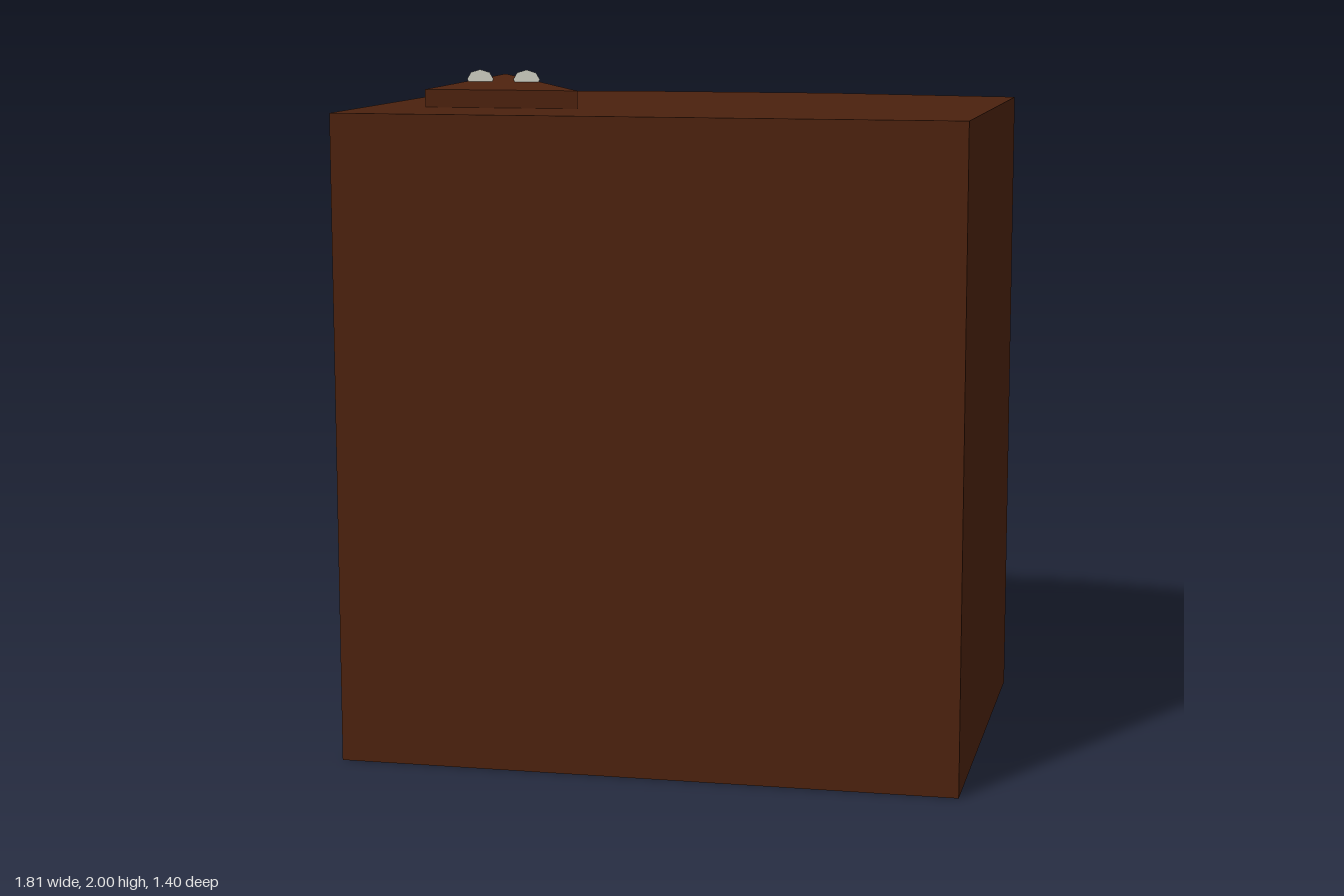
import * as THREE from 'three';

const mat = (name, color) => {
  const m = new THREE.MeshStandardMaterial({ color });
  m.name = name;
  return m;
};

// Solid skinned through closed cross-sections, capped at both ends, hard edges
function loft(sections) {
  const pos = [];
  const tri = (...pts) => pts.forEach((p) => pos.push(...p));
  const n = sections[0].length;
  for (let i = 0; i < sections.length - 1; i++) {
    for (let j = 0; j < n; j++) {
      const k = (j + 1) % n;
      const [s, t] = [sections[i], sections[i + 1]];
      tri(s[j], s[k], t[k]);
      tri(s[j], t[k], t[j]);
    }
  }
  const first = sections[0], last = sections[sections.length - 1];
  for (let j = 1; j < n - 1; j++) {
    tri(first[0], first[j + 1], first[j]);
    tri(last[0], last[j], last[j + 1]);
  }
  const g = new THREE.BufferGeometry();
  g.setAttribute('position', new THREE.Float32BufferAttribute(pos, 3));
  g.computeVertexNormals();
  return g;
}

// Closed outline from a function of angle
function outline(count, fn) {
  const pts = [];
  for (let i = 0; i < count; i++) {
    const [x, y] = fn((i / count) * Math.PI * 2);
    pts.push(new THREE.Vector2(x, y));
  }
  return new THREE.Shape(pts);
}

export function createModel() {
  const group = new THREE.Group();
  const wood = mat('brown wood', 0x4b210e);
  const charcoal = mat('charcoal surround', 0x3a3e3a);
  const glass = mat('grey glass', 0xa6a69e);
  const brass = mat('dull brass', 0x6e5f38);
  const white = mat('off white', 0xcacabe);

  const add = (name, geometry, material, x = 0, y = 0, z = 0) => {
    const m = new THREE.Mesh(geometry, material);
    m.name = name;
    m.position.set(x, y, z);
    group.add(m);
    return m;
  };

  const W = 0.905, H = 1.89, BACK = 0.7, PANEL = -0.45, LIP = -0.58;

  // Cabinet body; its -z face is the recessed panel
  add('cabinet', new THREE.BoxGeometry(W * 2, H, BACK - PANEL), wood, 0, H / 2, (BACK + PANEL) / 2);

  // Sloping rim down one side, along the bottom and up the other side
  const rimSection = (s, yFront, yBack, yInner) => [
    [s * W, yFront, LIP], [s * W, yBack, PANEL], [s * 0.848, yInner, PANEL],
  ];
  add('rim', loft([
    rimSection(1, 1.75, 1.7, 1.7), rimSection(1, 0, 0, 0.11),
    rimSection(-1, 0, 0, 0.11), rimSection(-1, 1.75, 1.7, 1.7),
  ]), wood);

  // Bowed canopy over the screen
  add('canopy', loft([[W, LIP, 1.75], [0.3, -0.705, 1.79], [-0.3, -0.705, 1.79], [-W, LIP, 1.75]]
    .map(([x, z, y]) => [[x, H, PANEL], [x, H, z], [x, y, z], [x, 1.7, PANEL]])), wood);

  // Thin plates stacked on the panel, each layer slightly prouder
  const plate = (name, shape, material, x, y, layer) =>
    add(name, new THREE.ExtrudeGeometry(shape, { depth: 0.005, bevelEnabled: false }),
      material, x, y, PANEL - 0.005 * layer);
  const rect = (w, h) => new THREE.Shape([[-w, -h], [w, -h], [w, h], [-w, h]]
    .map(([x, y]) => new THREE.Vector2(x / 2, y / 2)));
  const ellipse = (rx, ry, n) => outline(n, (a) => [rx * Math.cos(a), ry * Math.sin(a)]);

  // Screen with softly bulging sides
  plate('screenSurround', rect(1.696, 1.13), charcoal, 0, 1.135, 1);
  const soft = (v) => Math.sign(v) * Math.abs(v) ** (2 / 7);
  plate('screen', outline(72, (a) => [0.76 * soft(Math.cos(a)), 0.46 * soft(Math.sin(a))]),
    glass, 0, 1.15, 2);

  // Control strip with two knobs and a button plate
  plate('controlStrip', rect(1.696, 0.37), brass, 0, 0.3, 1);
  for (const s of [1, -1]) {
    plate('knob', ellipse(0.12, 0.12, 9), charcoal, s * 0.66, 0.33, 2);
    plate('knobMark', ellipse(0.05, 0.03, 12), brass, s * 0.66 + 0.01, 0.36, 3);
  }
  plate('buttonPlate', rect(0.72, 0.12), charcoal, 0.03, 0.175, 2);
  for (const x of [0.27, 0.03, -0.25]) {
    plate('button', ellipse(0.025, 0.014, 10), brass, x, 0.17, 3);
  }

  // Three-sided aerial base with a low peaked top
  const flatten = (g) => g.rotateY(Math.PI).scale(0.266, 1, 0.11).toNonIndexed();
  const hard = (g) => { const f = flatten(g); f.computeVertexNormals(); return f; };
  add('aerialBase', hard(new THREE.CylinderGeometry(1, 1, 0.052, 3)), wood, -0.5, H + 0.026, 0.3);
  add('aerialBaseTop', hard(new THREE.ConeGeometry(1, 0.045, 3)), wood, -0.5, H + 0.0745, 0.3);

  // Two tapered aerial sockets pointing away from the flat side
  for (const x of [-0.57, -0.43]) {
    const g = new THREE.CylinderGeometry(0.008, 0.04, 0.08, 8).rotateX(-Math.PI / 2).scale(1, 0.7, 1);
    add('aerialSocket', g, white, x, 1.972, 0.287);
  }
  return group;
}
